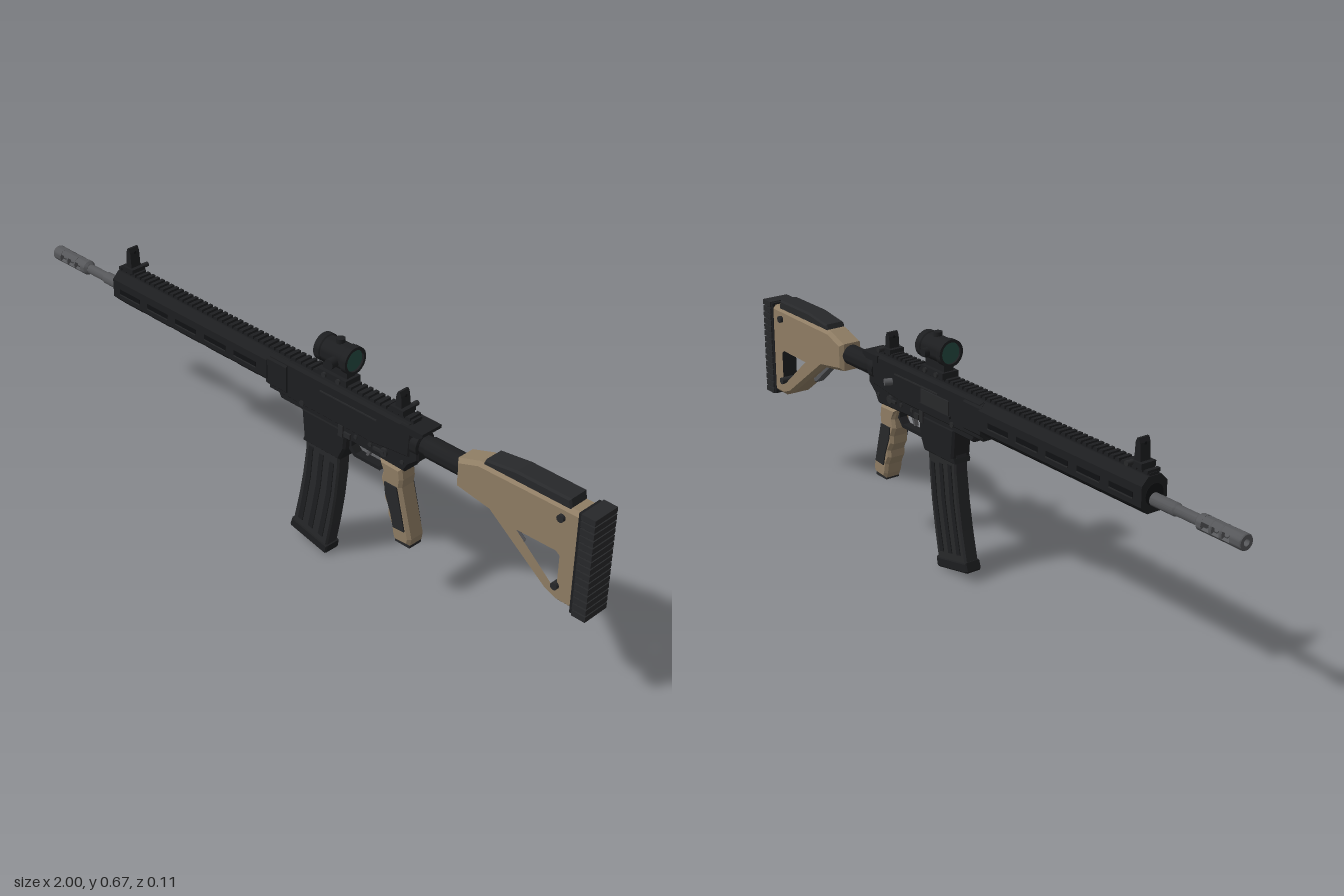
import * as THREE from 'three';
import { toCreasedNormals } from 'three/addons/utils/BufferGeometryUtils.js';

const mat = (name, color) => Object.assign(new THREE.MeshStandardMaterial({ color }), { name });

export function createModel() {
  const root = new THREE.Group();
  const black = mat('black', 0x1d1e20), dark = mat('charcoal', 0x27282a), pit = mat('recess', 0x101113);
  const tan = mat('tan', 0x8f7d64), steel = mat('steel', 0x56575a), lens = mat('lens', 0x244a42);

  const add = (name, geo, m, x = 0, y = 0, z = 0, parent = root) => {
    const mesh = new THREE.Mesh(geo, m);
    mesh.name = name;
    mesh.position.set(x, y, z);
    parent.add(mesh);
    return mesh;
  };
  const group = (name) => { const g = new THREE.Group(); g.name = name; root.add(g); return g; };
  const box = (name, m, w, h, d, x, y, z, parent) => add(name, new THREE.BoxGeometry(w, h, d), m, x, y, z, parent);
  const path = (pts, P = THREE.Shape) => new P(pts.map((p) => new THREE.Vector2(p[0], p[1])));
  // Side outline, extruded evenly about z = zc
  const slab = (name, m, pts, width, { bevel = 0, holes = [], zc = 0, parent = root } = {}) => {
    const s = path(pts);
    s.holes = holes.map((h) => path(h, THREE.Path));
    const g = new THREE.ExtrudeGeometry(s, { depth: width - 2 * bevel, bevelEnabled: bevel > 0, bevelSize: bevel,
      bevelThickness: bevel, bevelOffset: -bevel, bevelSegments: 1 });
    g.translate(0, 0, -width / 2 + bevel);
    return add(name, g, m, 0, 0, zc, parent);
  };
  // Cross-section in z, y extruded from x0 to x1
  const bar = (name, m, shape, x0, x1, y, parent) => {
    const g = new THREE.ExtrudeGeometry(shape, { depth: x1 - x0, bevelEnabled: false, curveSegments: 10 });
    g.rotateY(Math.PI / 2);
    return add(name, toCreasedNormals(g, 0.6), m, x0, y, 0, parent);
  };
  // Revolved profile [x, r] about the x axis
  const turned = (name, m, prof, y, parent = root) => {
    const g = new THREE.LatheGeometry(prof.map(([x, r]) => new THREE.Vector2(r, x)), 28);
    g.rotateZ(-Math.PI / 2);
    return add(name, toCreasedNormals(g, 0.6), m, 0, y, 0, parent);
  };
  const pin = (name, m, r, len, x, y, z, parent) =>
    add(name, new THREE.CylinderGeometry(r, r, len, 18).rotateX(Math.PI / 2), m, x, y, z, parent);
  const chamfer = (w, y0, y1, c) => path([[-w, y0 + c], [-w + c, y0], [w - c, y0], [w, y0 + c],
    [w, y1 - c], [w - c, y1], [-w + c, y1], [-w, y1 - c]]);

  // Barrel and ported muzzle brake
  const axis = 0.484;
  turned('barrel', steel, [[-0.86, 0], [-0.86, 0.014], [-0.78, 0.014], [-0.775, 0.017], [-0.6, 0.017], [-0.6, 0]], axis);
  const brake = group('muzzleBrake');
  for (const [a, b] of [[-1, -0.965], [-0.94, -0.932], [-0.907, -0.899]])
    turned('brakeRing', steel, [[a, 0.009], [a, 0.019], [a + 0.003, 0.021], [b, 0.021], [b, 0.009], [a, 0.009]], axis, brake);
  turned('brakeCollar', steel, [[-0.874, 0], [-0.874, 0.021], [-0.858, 0.021], [-0.85, 0.015], [-0.85, 0]], axis, brake);
  for (const start of [0.16, 1.16]) {
    const a0 = start * Math.PI, a1 = a0 + Math.PI * 0.68, s = new THREE.Shape();
    s.absarc(0, 0, 0.0205, a0, a1, false);
    s.absarc(0, 0, 0.012, a1, a0, true);
    bar('brakeWall', steel, s, -0.99, -0.86, axis, brake);
  }

  // Handguard with slots on sides and underside
  const guard = group('handguard');
  bar('handguardBody', black, chamfer(0.04, 0.45, 0.544, 0.02), -0.697, -0.07, 0, guard);
  turned('handguardMouth', pit, [[-0.6985, 0], [-0.6985, 0.028], [-0.69, 0.028]], axis + 0.012, guard);
  for (let i = 0; i < 5; i++) {
    const x = -0.625 + i * 0.118;
    for (const s of [-1, 1]) {
      box('sideSlot', pit, 0.085, 0.014, 0.002, x, 0.495, s * 0.0402, guard);
      box('slotLip', dark, 0.085, 0.003, 0.004, x, 0.486, s * 0.0402, guard);
      const low = box('lowerSlot', pit, 0.075, 0.011, 0.002, x, 0.4598, s * 0.0302, guard);
      low.rotation.x = s * Math.PI / 4;
    }
    box('bottomSlot', pit, 0.085, 0.002, 0.014, x, 0.4498, 0, guard);
  }

  // Toothed top rail
  const rail = group('topRail');
  box('railBase', black, 1.12, 0.012, 0.03, -0.135, 0.545, 0, rail);
  for (let i = 0; i < 56; i++) box('railTooth', black, 0.011, 0.009, 0.04, -0.688 + i * 0.02, 0.553, 0, rail);

  // Upper receiver
  const upper = group('upperReceiver');
  slab('upperBody', black, [[-0.072, 0.435], [0.3, 0.435], [0.43, 0.45], [0.435, 0.52], [0.42, 0.543], [-0.072, 0.543]], 0.064, { bevel: 0.007, parent: upper });
  bar('barrelCollar', black, chamfer(0.037, 0.44, 0.544, 0.016), -0.075, 0, 0, upper);
  for (const s of [-1, 1]) {
    box('receiverRib', dark, 0.2, 0.004, 0.004, 0.22, 0.512, s * 0.032, upper);
    pin('receiverPin', dark, 0.008, 0.006, 0.055, 0.445, s * 0.032, upper);
  }
  box('ejectionCover', dark, 0.125, 0.042, 0.006, 0.13, 0.486, -0.033, upper);
  box('ejectionHinge', black, 0.14, 0.007, 0.01, 0.13, 0.463, -0.033, upper);
  const assist = pin('forwardAssist', steel, 0.01, 0.022, 0.335, 0.487, -0.043, upper);
  assist.rotation.y = -0.4;
  slab('chargingHandle', black, [[0.4, 0.522], [0.455, 0.522], [0.473, 0.532], [0.473, 0.541], [0.4, 0.541]], 0.07, { parent: upper });

  // Lower receiver, magazine well and controls
  const lower = group('lowerReceiver');
  slab('lowerBody', black, [[-0.04, 0.438], [-0.03, 0.42], [0.05, 0.42], [0.21, 0.405], [0.33, 0.402], [0.41, 0.4], [0.425, 0.425],
    [0.455, 0.45], [0.455, 0.505], [0.425, 0.505], [0.4, 0.46], [-0.03, 0.46]], 0.056, { bevel: 0.005, parent: lower });
  slab('magazineWell', black, [[0.05, 0.43], [0.058, 0.345], [0.052, 0.33], [0.188, 0.33], [0.207, 0.37], [0.212, 0.43]], 0.062, { bevel: 0.006, parent: lower });
  slab('triggerGuard', black, [[0.195, 0.41], [0.2, 0.372], [0.225, 0.352], [0.315, 0.352], [0.335, 0.375], [0.335, 0.41]], 0.024,
    { holes: [[[0.215, 0.402], [0.327, 0.402], [0.327, 0.378], [0.312, 0.362], [0.23, 0.362], [0.215, 0.378]]], parent: lower });
  slab('trigger', steel, [[0.265, 0.41], [0.283, 0.41], [0.278, 0.39], [0.268, 0.37], [0.261, 0.371], [0.268, 0.39]], 0.012, { parent: lower });
  for (const s of [-1, 1]) {
    pin('selectorHub', dark, 0.012, 0.01, 0.345, 0.43, s * 0.03, lower);
    box('selectorLever', dark, 0.035, 0.008, 0.006, 0.33, 0.43, s * 0.034, lower);
    for (const x of [0.245, 0.295, 0.405]) pin('crossPin', dark, 0.006, 0.006, x, 0.428, s * 0.028, lower);
    box('magazineCatch', dark, 0.022, 0.014, 0.008, 0.218, 0.42, s * 0.03, lower);
    box('boltCatch', dark, 0.016, 0.034, 0.006, 0.195, 0.425, s * 0.031, lower);
  }

  // Curved magazine with ribs and floor plate
  const mag = group('magazine');
  slab('magazineBody', dark, [[0.058, 0.38], [0.056, 0.3], [0.045, 0.22], [0.03, 0.14], [0.008, 0.045], [0.135, 0.012],
    [0.153, 0.1], [0.168, 0.19], [0.178, 0.28], [0.182, 0.38]], 0.044, { bevel: 0.005, parent: mag });
  slab('floorPlate', black, [[0.008, 0.056], [0, 0.032], [0.004, 0.026], [0.132, 0], [0.139, 0.005], [0.143, 0.028]], 0.05, { bevel: 0.004, parent: mag });
  for (const s of [-1, 1]) {
    for (const dx of [0, 0.038, 0.076]) {
      slab('magazineRib', black, [[0.073, 0.32], [0.062, 0.22], [0.047, 0.14], [0.032, 0.07], [0.048, 0.066],
        [0.063, 0.14], [0.078, 0.22], [0.088, 0.32]].map(([x, y]) => [x + dx, y - dx * 0.2]), 0.004, { zc: s * 0.0225, parent: mag });
    }
  }

  // Pistol grip with finger swells and dark panels
  const grip = group('pistolGrip');
  slab('gripBody', tan, [[0.325, 0.402], [0.4, 0.402], [0.405, 0.37], [0.402, 0.345], [0.44, 0.205], [0.436, 0.184], [0.385, 0.18],
    [0.378, 0.195], [0.372, 0.225], [0.358, 0.25], [0.36, 0.27], [0.344, 0.295], [0.345, 0.318], [0.332, 0.345], [0.338, 0.37]],
  0.058, { bevel: 0.008, parent: grip });
  box('gripCap', dark, 0.05, 0.008, 0.044, 0.41, 0.179, 0, grip);
  for (const s of [-1, 1]) slab('gripPanel', dark, [[0.35, 0.345], [0.392, 0.345], [0.423, 0.225], [0.385, 0.222], [0.375, 0.26], [0.355, 0.31]],
    0.005, { zc: s * 0.03, parent: grip });

  // Tube joining receiver and stock
  turned('stockTube', black, [[0.43, 0], [0.43, 0.034], [0.452, 0.034], [0.455, 0.026], [0.47, 0.026], [0.475, 0.029], [0.62, 0.029], [0.62, 0]], 0.49);

  // Shoulder stock with triangular opening, cheek rest and ribbed pad
  const stock = group('stock');
  slab('stockBody', tan, [[0.582, 0.525], [0.65, 0.548], [0.96, 0.552], [0.96, 0.28], [0.905, 0.28], [0.868, 0.295], [0.69, 0.428], [0.582, 0.445]],
    0.072, { bevel: 0.01, parent: stock,
      holes: [[[0.77, 0.43], [0.9, 0.432], [0.918, 0.418], [0.918, 0.318], [0.91, 0.306], [0.89, 0.312], [0.765, 0.418]]] });
  slab('cheekRest', dark, [[0.66, 0.545], [0.668, 0.562], [0.7, 0.566], [0.76, 0.574], [0.92, 0.574], [0.925, 0.545]], 0.062, { bevel: 0.005, parent: stock });
  slab('stockLever', steel, [[0.68, 0.425], [0.7, 0.425], [0.775, 0.366], [0.768, 0.356], [0.755, 0.36]], 0.026, { bevel: 0.003, parent: stock });
  for (const y of [0.327, 0.52]) pin('slingSocket', dark, 0.01, 0.09, 0.905, y, 0, stock);
  box('padPlate', black, 0.034, 0.284, 0.074, 0.968, 0.415, 0, stock);
  for (let i = 0; i < 15; i++) box('padRib', dark, 0.04, 0.0155, 0.082, 0.98, 0.279 + i * 0.0195, 0, stock);

  // Tube optic on a clamp mount
  const optic = group('optic'), oy = 0.624;
  turned('opticTube', black, [[0.106, 0.03], [0.1, 0.03], [0.1, 0.038], [0.118, 0.038], [0.121, 0.035], [0.19, 0.035], [0.193, 0.038],
    [0.212, 0.038], [0.212, 0.03], [0.206, 0.03]], oy, optic);
  for (const [x, s] of [[0.106, -1], [0.206, 1]])
    add('opticLens', new THREE.CircleGeometry(0.031, 28).rotateY(s * Math.PI / 2), lens, x, oy, 0, optic);
  add('topTurret', new THREE.CylinderGeometry(0.012, 0.012, 0.02, 18), black, 0.16, 0.66, 0, optic);
  pin('powerDial', black, 0.014, 0.03, 0.172, 0.62, 0.04, optic);
  pin('sideTurret', black, 0.012, 0.022, 0.16, 0.62, -0.039, optic);
  box('opticPost', black, 0.085, 0.03, 0.03, 0.155, 0.577, 0, optic);
  box('opticClamp', black, 0.1, 0.018, 0.052, 0.155, 0.562, 0, optic);
  for (const x of [0.13, 0.18]) pin('clampScrew', dark, 0.007, 0.064, x, 0.562, 0, optic);

  // Folding sights
  for (const [name, x, top] of [['frontSight', -0.652, 0.626], ['rearSight', 0.375, 0.613]]) {
    const g = group(name);
    box('sightBase', black, 0.045, 0.014, 0.046, x, 0.562, 0, g);
    slab('sightPost', black, [[x - 0.011, 0.565], [x + 0.011, 0.565], [x + 0.008, top - 0.012], [x + 0.003, top], [x - 0.003, top], [x - 0.008, top - 0.012]], 0.032, { parent: g });
    pin('sightKnob', dark, 0.007, 0.02, x + 0.012, 0.564, -0.03, g);
    add('sightAperture', new THREE.CylinderGeometry(0.004, 0.004, 0.02, 12).rotateZ(Math.PI / 2), pit, x, top - 0.013, 0, g);
  }
  return root;
}
